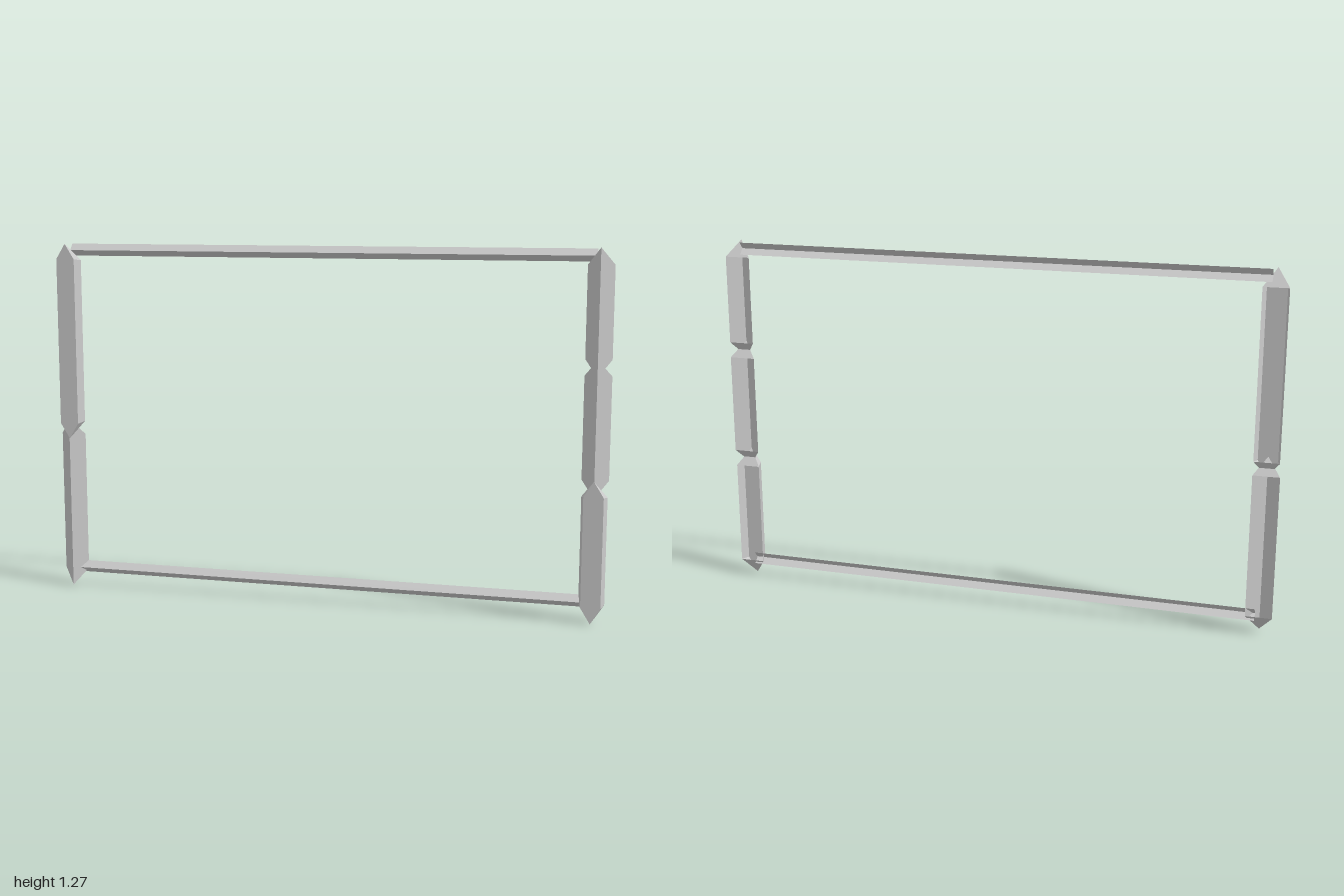
import * as THREE from 'three';

const material = new THREE.MeshStandardMaterial({
  color: 0xcccccc, flatShading: true, side: THREE.DoubleSide,
});

// Open folded sheet between two rings of points; capped ends fan out from the middle point.
function foldedSheet(name, ringA, ringB, capped) {
  const positions = [];
  const tri = (...pts) => pts.forEach((p) => positions.push(...p));
  const last = ringA.length - 1;
  const mid = last / 2;
  for (let i = 0; i < last; i++) {
    tri(ringA[i], ringB[i], ringB[i + 1]);
    tri(ringA[i], ringB[i + 1], ringA[i + 1]);
  }
  if (capped) {
    for (const ring of [ringA, ringB]) {
      for (let i = 0; i < last; i++) {
        if (i !== mid && i + 1 !== mid) tri(ring[mid], ring[i], ring[i + 1]);
      }
      tri(ring[mid], ring[last], ring[0]);
    }
  }
  const geometry = new THREE.BufferGeometry();
  geometry.setAttribute('position', new THREE.Float32BufferAttribute(positions, 3));
  geometry.computeVertexNormals();
  const mesh = new THREE.Mesh(geometry, material);
  mesh.name = name;
  return mesh;
}

// Post sections: [x offset, z, how far this edge stops short of the pointed tip]
const ridged = [[0.046, -0.02, 0.058], [0, 0.02, 0], [-0.046, -0.02, 0.058]];
const flatFaced = [
  [0.044, -0.02, 0.06], [0.034, 0.02, 0.055], [0, 0.02, 0],
  [-0.034, 0.02, 0.055], [-0.044, -0.02, 0.06],
];

function postPiece(name, section, x, bottom, top, scale = 1) {
  const low = section.map(([dx, z, inset]) => [x + dx * scale, bottom + inset, z]);
  const high = section.map(([dx, z, inset]) => [x + dx * scale, top - inset, z]);
  return foldedSheet(name, low, high, true);
}

// Rail: V-shaped sheet with its ridge to the front
function rail(name, y) {
  const section = [[y + 0.023, -0.02], [y, 0.001], [y - 0.02, -0.02]];
  const ring = (x) => section.map(([py, z]) => [x, py, z]);
  return foldedSheet(name, ring(-0.94), ring(0.94), false);
}

export function createModel() {
  const model = new THREE.Group();
  model.name = 'frame';

  // Post on the -x side: two overlapping pieces
  const rightPost = new THREE.Group();
  rightPost.name = 'rightPost';
  rightPost.add(
    postPiece('upperFlatPiece', flatFaced, -0.953, 0.565, 1.275),
    postPiece('lowerRidgedPiece', ridged, -0.954, 0.01, 0.635),
  );

  // Post on the +x side: three overlapping pieces
  const leftPost = new THREE.Group();
  leftPost.name = 'leftPost';
  leftPost.add(
    postPiece('upperRidgedPiece', ridged, 0.952, 0.85, 1.28, 0.98),
    postPiece('middleRidgedPiece', ridged, 0.952, 0.44, 0.91),
    postPiece('lowerFlatPiece', flatFaced, 0.951, 0.005, 0.5),
  );

  model.add(rightPost, leftPost, rail('topRail', 1.252), rail('bottomRail', 0.074));
  return model;
}
